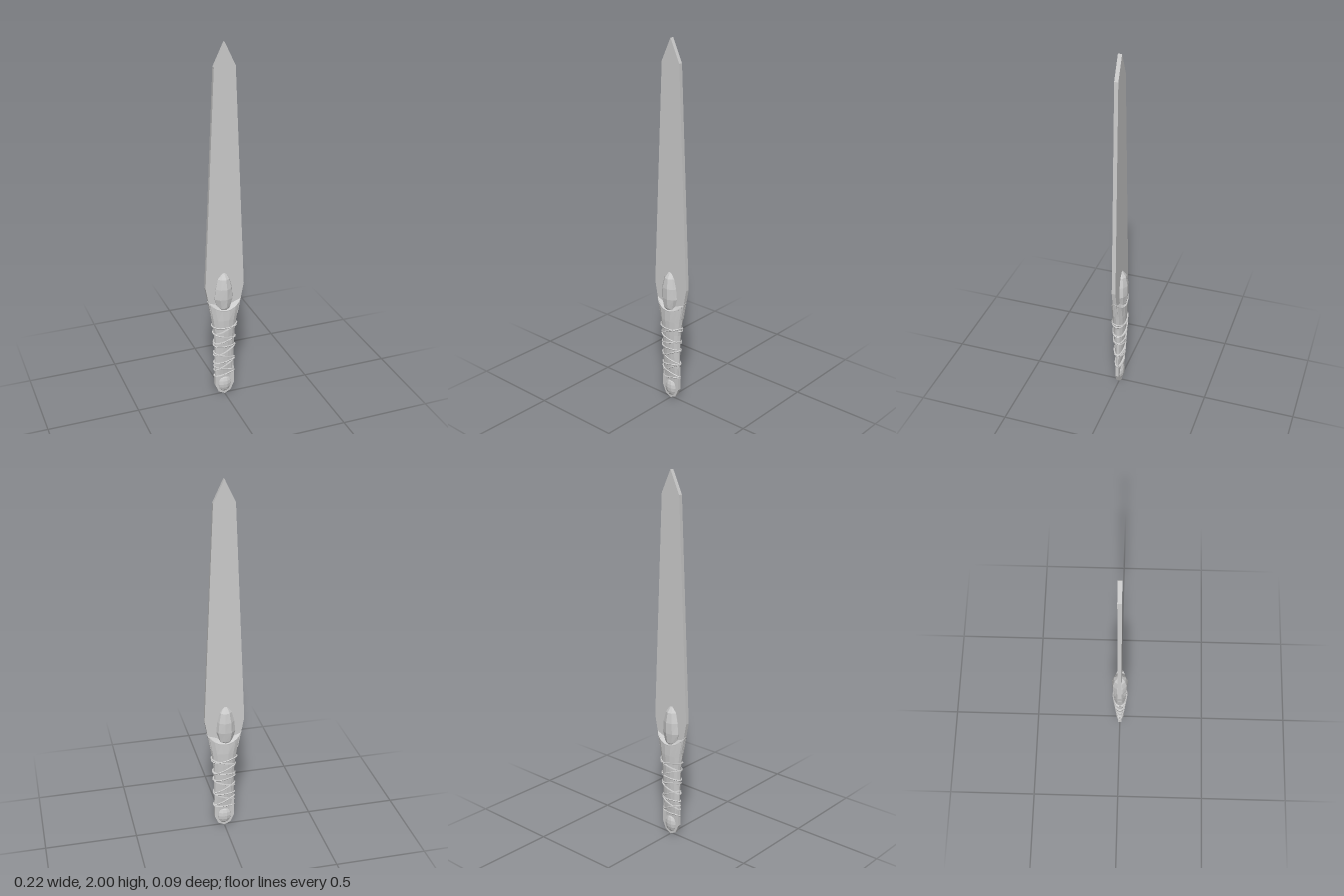
import * as THREE from 'three';

const mat = () => new THREE.MeshStandardMaterial({ color: 0xcccccc, flatShading: true, side: THREE.DoubleSide });

// Grip half sizes at each height: [y, half width, half depth]
const GRIP = [
  [0.07, 0.053, 0.01], [0.13, 0.055, 0.014], [0.2, 0.056, 0.022], [0.3, 0.057, 0.028],
  [0.4, 0.061, 0.034], [0.48, 0.073, 0.037], [0.6, 0.094, 0.035],
];

function gripSize(y) {
  let i = 0;
  while (i < GRIP.length - 2 && y > GRIP[i + 1][0]) i++;
  const [a, b] = [GRIP[i], GRIP[i + 1]];
  const t = THREE.MathUtils.clamp((y - a[0]) / (b[0] - a[0]), 0, 1);
  return [a[1] + (b[1] - a[1]) * t, a[2] + (b[2] - a[2]) * t];
}

// Joins rings of equal point count into a closed skin with end caps
function loft(rings) {
  const n = rings[0].length, pos = rings.flat().flat(), idx = [];
  for (let r = 0; r < rings.length - 1; r++) {
    for (let i = 0; i < n; i++) {
      const a = r * n + i, b = r * n + (i + 1) % n;
      idx.push(a, a + n, b, b, a + n, b + n);
    }
  }
  for (const r of [0, rings.length - 1]) {
    const c = pos.length / 3;
    const mid = [0, 1, 2].map(k => rings[r].reduce((s, p) => s + p[k], 0) / n);
    pos.push(...mid);
    for (let i = 0; i < n; i++) {
      const a = r * n + i, b = r * n + (i + 1) % n;
      r ? idx.push(a, c, b) : idx.push(a, b, c);
    }
  }
  const g = new THREE.BufferGeometry();
  g.setAttribute('position', new THREE.Float32BufferAttribute(pos, 3));
  g.setIndex(idx);
  g.computeVertexNormals();
  return g;
}

function ring(y, rx, rz, n, cx = 0, lift = () => 0) {
  return Array.from({ length: n }, (_, i) => {
    const a = i / n * Math.PI * 2;
    return [cx + rx * Math.cos(a), y + lift(a), rz * Math.sin(a)];
  });
}

function plate(right, depth) {
  const left = right.filter(p => p[0] > 0).map(([x, y]) => [-x, y]).reverse();
  const shape = new THREE.Shape([...right, ...left].map(p => new THREE.Vector2(...p)));
  return new THREE.ExtrudeGeometry(shape, { depth, bevelEnabled: false }).translate(0, 0, -depth / 2);
}

export function createModel() {
  const group = new THREE.Group();
  const add = (name, geometry) => {
    const mesh = new THREE.Mesh(geometry, mat());
    mesh.name = name;
    group.add(mesh);
    return mesh;
  };

  // Flat blade, tapering to a short point
  add('blade', plate([[0, 0.5], [0.075, 0.5], [0.109, 0.68], [0.057, 1.88], [0, 2]], 0.021));

  // Flat rounded end of the tang
  add('tang', plate([[0, 0], [0.035, 0.018], [0.056, 0.065], [0.053, 0.2], [0, 0.2]], 0.02));

  // Leather grip, its upper rim dipping in the middle of each face
  const rings = GRIP.slice(0, -1).map(([y, w, d]) => ring(y, w, d, 14));
  rings.push(ring(0.6, 0.094, 0.035, 14, 0, a => -0.06 * Math.abs(Math.sin(a)) ** 1.5));
  add('grip', loft(rings));

  // Faceted stone set through the base of the blade
  const stone = [
    [0.52, 0.012, 0.02], [0.555, 0.04, 0.037], [0.61, 0.056, 0.044],
    [0.67, 0.05, 0.044], [0.725, 0.036, 0.034], [0.757, 0.014, 0.012],
  ];
  add('stone', loft(stone.map(([y, w, d]) => ring(y, w, d, 9, -0.006))));

  // Pommel stone
  const pommel = new THREE.SphereGeometry(1, 10, 8).scale(0.042, 0.053, 0.025);
  add('pommel', pommel.translate(0, 0.065, 0));

  // Cord loops around the grip, tilted in alternate directions
  const cords = new THREE.Group();
  cords.name = 'cordWrap';
  const loops = [
    [0.13, 0.006], [0.165, -0.022], [0.19, 0.03], [0.215, 0.004], [0.25, -0.025], [0.28, 0.025],
    [0.315, -0.006], [0.35, 0.012], [0.375, -0.022], [0.42, 0.024], [0.435, -0.008],
  ];
  for (const [y0, tilt] of loops) {
    const points = Array.from({ length: 20 }, (_, i) => {
      const a = i / 20 * Math.PI * 2;
      const y = y0 + tilt * Math.cos(a) + 0.004 * Math.sin(2 * a);
      const [w, d] = gripSize(y);
      return new THREE.Vector3((w + 0.004) * Math.cos(a), y, (d + 0.003) * Math.sin(a));
    });
    const path = new THREE.CatmullRomCurve3(points, true);
    const cord = new THREE.Mesh(new THREE.TubeGeometry(path, 40, 0.004, 5, true), mat());
    cord.name = 'cord';
    cords.add(cord);
  }
  group.add(cords);

  // Thin cord trimming the grip's upper rim
  const rim = rings[rings.length - 1].map(p => new THREE.Vector3(...p));
  add('rimCord', new THREE.TubeGeometry(new THREE.CatmullRomCurve3(rim, true), 42, 0.003, 5, true));

  return group;
}
